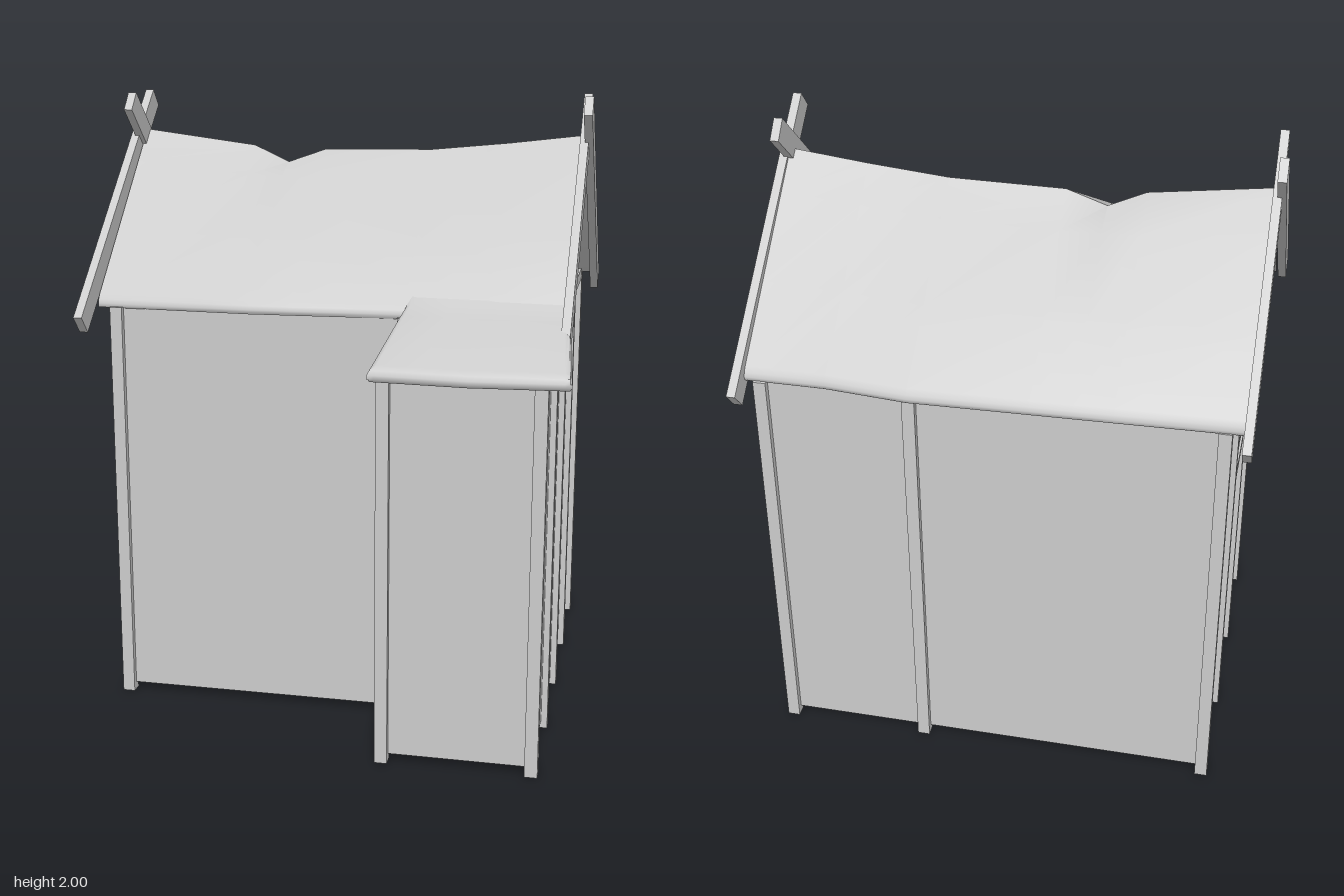
import * as THREE from 'three';
import { toCreasedNormals } from 'three/addons/utils/BufferGeometryUtils.js';

export function createModel() {
  const house = new THREE.Group();
  house.name = 'timberHouse';
  const solid = new THREE.MeshStandardMaterial({ color: 0xcccccc });
  const sheet = new THREE.MeshStandardMaterial({ color: 0xcccccc, side: THREE.DoubleSide });

  const add = (name, geometry, material = solid) => {
    const mesh = new THREE.Mesh(geometry, material);
    mesh.name = name;
    house.add(mesh);
    return mesh;
  };
  const box = (name, w, h, d, x, y, z) => {
    const mesh = add(name, new THREE.BoxGeometry(w, h, d));
    mesh.position.set(x, y, z);
    return mesh;
  };

  // Plan lines of the frame
  const SIDE = 0.705, FRONT = 0.37, BACK = -0.69, PORCH = 0.72, INNER = 0.24, BASE = 0.025;
  const BEAM = 0.04, RIDGE_Z = -0.16;

  // Thin walls, open underneath
  const wall = (name, points, turned, offset) => {
    const shape = new THREE.Shape(points.map(p => new THREE.Vector2(...p)));
    const geo = new THREE.ShapeGeometry(shape);
    if (turned) geo.rotateY(-Math.PI / 2).translate(offset, 0, 0);
    else geo.translate(0, 0, offset);
    add(name, geo, sheet);
  };
  const rect = (a, b, ha, hb = ha) => [[a, BASE], [b, BASE], [b, hb], [a, ha]];
  const gable = [[BACK, BASE], [FRONT, BASE], [FRONT, 1.32], [RIDGE_Z, 1.81], [BACK, 1.32]];
  wall('leftGableWall', gable, true, SIDE);
  wall('rightGableWall', gable, true, -SIDE);
  wall('backWall', rect(-SIDE, SIDE, 1.33), false, BACK);
  wall('frontWall', rect(-SIDE, INNER, 1.33), false, FRONT);
  wall('porchFrontWall', rect(INNER, SIDE, 1.22), false, PORCH);
  wall('porchOuterWall', rect(FRONT, PORCH, 1.33, 1.22), true, SIDE);
  wall('porchInnerWall', rect(FRONT, PORCH, 1.33, 1.22), true, INNER);

  // Posts: x, z, height
  const posts = [[INNER, BACK, 1.335], [INNER, FRONT, 1.335], [INNER, PORCH, 1.22], [SIDE, PORCH, 1.22]];
  for (const x of [-SIDE, SIDE])
    posts.push([x, FRONT, 1.335], [x, 0.02, 1.655], [x, -0.335, 1.655], [x, BACK, 1.335]);
  for (const [x, z, h] of posts) box('post', BEAM, h, BEAM, x, h / 2, z);

  // Gable beams and the short collar under the ridge
  for (const x of [-SIDE, SIDE]) {
    box('gableBeam', 0.036, BEAM, FRONT - BACK, x, 1.325, (FRONT + BACK) / 2);
    box('gableCollar', 0.036, BEAM, 0.2, x, 1.7, RIDGE_Z);
  }
  // Rails between the middle posts of one gable
  for (const y of [0.91, 1.02, 1.21]) box('gableRail', 0.036, 0.03, 0.34, -SIDE, y, -0.157);

  // Crossed bargeboards at both gables
  const slope = 0.73;
  for (const [xFront, xBack] of [[0.752, 0.768], [-0.787, -0.773]]) {
    box('frontBargeboard', 0.028, 0.075, 1.02, xFront, 1.633, 0.11).rotation.x = slope;
    box('backBargeboard', 0.028, 0.075, 1.02, xBack, 1.633, -0.38).rotation.x = -slope;
  }

  // Joins columns of [x, z, y, halfThickness] points into a closed slab
  const slab = (name, columns) => {
    const n = columns[0].length, ring = 2 * n, pos = [], idx = [];
    for (const col of columns) {
      for (const [x, z, y, h] of col) pos.push(x, y + h, z);
      for (const [x, z, y, h] of [...col].reverse()) pos.push(x, y - h, z);
    }
    for (let c = 0; c < columns.length - 1; c++)
      for (let j = 0; j < ring; j++) {
        const a = c * ring + j, b = c * ring + (j + 1) % ring;
        idx.push(a, b, a + ring, b, b + ring, a + ring);
      }
    const last = (columns.length - 1) * ring;
    for (let j = 0; j < n - 1; j++) {
      const t = j, u = j + 1, v = ring - 1 - j, w = ring - 2 - j;
      idx.push(t, v, u, u, v, w);
      idx.push(last + t, last + u, last + v, last + u, last + w, last + v);
    }
    const geo = new THREE.BufferGeometry();
    geo.setAttribute('position', new THREE.Float32BufferAttribute(pos, 3));
    geo.setIndex(idx);
    add(name, toCreasedNormals(geo, 0.75));
  };

  // Main roof: sagging ridge with one local dent; columns of x, ridge y, dent, front z, back z
  const T = 0.018;
  const nose = [[0, 0.25], [0.008, 0.75], [0.03, 1]];
  const roofColumns = [
    [-0.77, 1.87, 0, 0.372, -0.703], [-0.38, 1.82, 0, 0.39, -0.712], [-0.26, 1.815, 0.05, 0.395, -0.715],
    [-0.13, 1.81, 0, 0.39, -0.718], [0.24, 1.815, 0, 0.372, -0.727], [0.5, 1.84, 0, 0.372, -0.70],
    [0.755, 1.87, 0, 0.372, -0.70],
  ].map(([x, ridge, dent, zf, zb]) => {
    const at = (f, zEnd, thick = 1) => {
      const dip = dent * Math.max(0, 1 - f / 0.2);
      const z = THREE.MathUtils.lerp(RIDGE_Z, zEnd, f);
      return [x, z, THREE.MathUtils.lerp(ridge - T, 1.34, f) - dip, T * thick];
    };
    const half = zEnd => [...nose.map(([d, h]) => at(1 - d, zEnd, h)), at(0.6, zEnd), at(0.2, zEnd)];
    return [...half(zb), at(0, zf), ...half(zf).reverse()];
  });
  slab('mainRoof', roofColumns);

  // Porch roof: flatter continuation of the front slope, flaring and bowed at its eave
  const sides = [[0, 0.25], [0.01, 0.75], [0.035, 1], [0.27, 1], [0.5, 1], [0.73, 1], [0.965, 1], [0.99, 0.75], [1, 0.25]];
  slab('porchRoof', sides.map(([u, thick]) => {
    const zf = 0.783 - 0.02 * Math.abs(2 * u - 1);
    const path = [[0.3, 1.392, 1], [0.36, 1.352, 1], [0.44, 1.33, 1], [zf - 0.03, 1.238, 1],
      [zf - 0.008, 1.232, 0.75], [zf, 1.23, 0.25]];
    return path.map(([z, y, h]) => {
      const flare = Math.max(0, (z - 0.37) / 0.39);
      const x = THREE.MathUtils.lerp(0.24 - 0.042 * flare, 0.755 + 0.037 * flare, u);
      return [x, z, y, 0.023 * Math.min(h, thick)];
    });
  }));

  return house;
}
